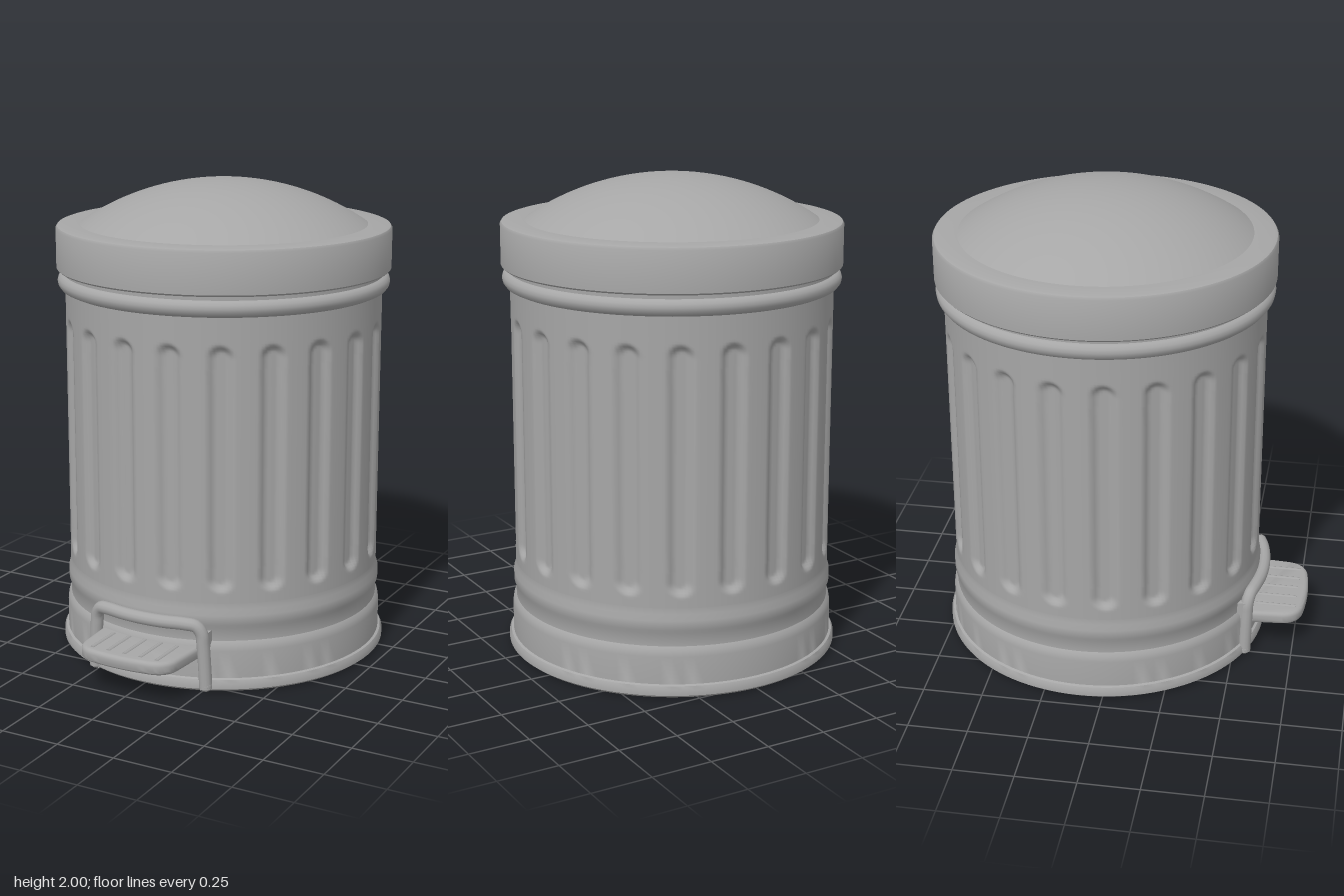
import * as THREE from 'three';
import { toCreasedNormals } from 'three/addons/utils/BufferGeometryUtils.js';

const CAN_Z = -0.095; // the can sits back so that the pedal can stick out in front
const FLUTES = 20;

export function createModel() {
  const steel = new THREE.MeshStandardMaterial({ color: 0xa6a6a6 });
  steel.name = 'grey steel';
  const bin = new THREE.Group();
  bin.name = 'pedalBin';

  const add = (name, geometry, z = 0) => {
    const mesh = new THREE.Mesh(geometry, steel);
    mesh.name = name;
    mesh.position.z = z;
    bin.add(mesh);
    return mesh;
  };
  // Turned part: [radius, height] pairs from bottom to top, with crisp edges
  const turned = (name, pairs) => add(name, toCreasedNormals(
    new THREE.LatheGeometry(pairs.map(p => new THREE.Vector2(...p)), 96), 0.6), CAN_Z);

  // Base: floor, rolled foot rim and two shallow bands
  turned('base', [
    [0, 0], [0.685, 0], [0.7, 0.012], [0.7, 0.035], [0.692, 0.05], [0.682, 0.054],
    [0.682, 0.17], [0.678, 0.195], [0.667, 0.21], [0.667, 0.265], [0.676, 0.28],
    [0.676, 0.32], [0.668, 0.345], [0.667, 0.37],
  ]);

  // Fluted wall: rows are closer together at the rounded ends of the flutes
  const rows = [];
  for (let y = 0.37; y < 0.52; y += 0.01) rows.push(y);
  for (let y = 0.52; y < 1.33; y += 0.09) rows.push(y);
  for (let y = 1.33; y < 1.46; y += 0.01) rows.push(y);
  rows.push(1.5, 1.57);
  const wall = new THREE.LatheGeometry(rows.map(y => new THREE.Vector2(0.667, y)), FLUTES * 16);
  const pos = wall.attributes.position;
  const pitch = Math.PI * 2 / FLUTES;
  for (let i = 0; i < pos.count; i++) {
    const x = pos.getX(i), y = pos.getY(i), z = pos.getZ(i);
    const angle = Math.atan2(x, z) + Math.PI * 2;
    const across = ((angle % pitch) - pitch / 2) * 0.667;
    const along = y - THREE.MathUtils.clamp(y, 0.47, 1.38);
    const inside = 1 - THREE.MathUtils.smoothstep(Math.hypot(across, along), 0.026, 0.056);
    const scale = 1 - 0.022 * inside / 0.667;
    pos.setXYZ(i, x * scale, y, z * scale);
  }
  wall.computeVertexNormals();
  add('flutedWall', wall, CAN_Z);

  // Rolled bead at the top of the wall and neck under the lid
  turned('rimBead', [
    [0.667, 1.545], [0.685, 1.553], [0.696, 1.568], [0.699, 1.583], [0.695, 1.598],
    [0.684, 1.609], [0.672, 1.613], [0.672, 1.64],
  ]);

  // Lid band with a flat ledge
  turned('lidBand', [
    [0.66, 1.632], [0.696, 1.632], [0.703, 1.639], [0.703, 1.803], [0.697, 1.813],
    [0.685, 1.817], [0.59, 1.817],
  ]);

  // Domed lid: a shallow spherical cap
  const capRadius = 0.605, capHeight = 0.185;
  const sphere = (capRadius ** 2 + capHeight ** 2) / (2 * capHeight);
  const capAngle = Math.asin(capRadius / sphere);
  const dome = new THREE.SphereGeometry(sphere, 96, 20, 0, Math.PI * 2, 0, capAngle);
  dome.translate(0, 2 - sphere, 0);
  add('lidDome', dome, CAN_Z);

  // Pedal guard: a bent tube that follows the curve of the can
  const onCan = (x, y, r = 0.695) => new THREE.Vector3(x, y, CAN_Z + Math.sqrt(r * r - x * x));
  const path = [
    onCan(-0.262, 0.015), onCan(-0.258, 0.1), onCan(-0.252, 0.2), onCan(-0.246, 0.25),
    onCan(-0.225, 0.28), onCan(-0.18, 0.288), onCan(-0.09, 0.288), onCan(0, 0.288),
  ];
  const other = path.slice(0, -1).reverse().map(p => new THREE.Vector3(-p.x, p.y, p.z));
  const curve = new THREE.CatmullRomCurve3([...path, ...other]);
  add('pedalGuard', new THREE.TubeGeometry(curve, 80, 0.027, 12));
  for (const side of [-1, 1]) {
    // Closed foot and flange that tie the guard to the can
    const foot = add('guardFoot', new THREE.SphereGeometry(0.027, 16, 10));
    foot.position.copy(onCan(side * 0.262, 0.027));
    const flange = add('guardFlange', new THREE.BoxGeometry(0.03, 0.25, 0.06));
    flange.position.set(side * 0.256, 0.13, 0.53);
  }

  // Pedal: rounded plate seen from above, laid flat
  const plan = (w, front, back, r) => {
    const s = new THREE.Shape();
    s.moveTo(-w, back);
    s.lineTo(w, back);
    s.lineTo(w - 0.012, front + r);
    s.quadraticCurveTo(w - 0.02, front + 0.02, w - r, front + 0.01);
    s.quadraticCurveTo(0, front - 0.01, -w + r, front + 0.01);
    s.quadraticCurveTo(-w + 0.02, front + 0.02, -w + 0.012, front + r);
    s.closePath();
    return s;
  };
  // Plan y is minus z, so the front edge is the most negative
  const plate = new THREE.ExtrudeGeometry(plan(0.215, -0.78, -0.53, 0.08), {
    depth: 0.02, bevelEnabled: true, bevelThickness: 0.018, bevelSize: 0.018,
    bevelSegments: 4, curveSegments: 10,
  });
  plate.rotateX(-Math.PI / 2);
  add('pedal', toCreasedNormals(plate, 0.6)).position.y = 0.15;

  // Grip ridges on the pedal
  for (let i = -2; i <= 2; i++) {
    const ridge = new THREE.CylinderGeometry(0.01, 0.01, 0.17, 8);
    ridge.rotateX(Math.PI / 2);
    add('pedalRidge', ridge).position.set(i * 0.075, 0.184, 0.67);
  }
  return bin;
}
